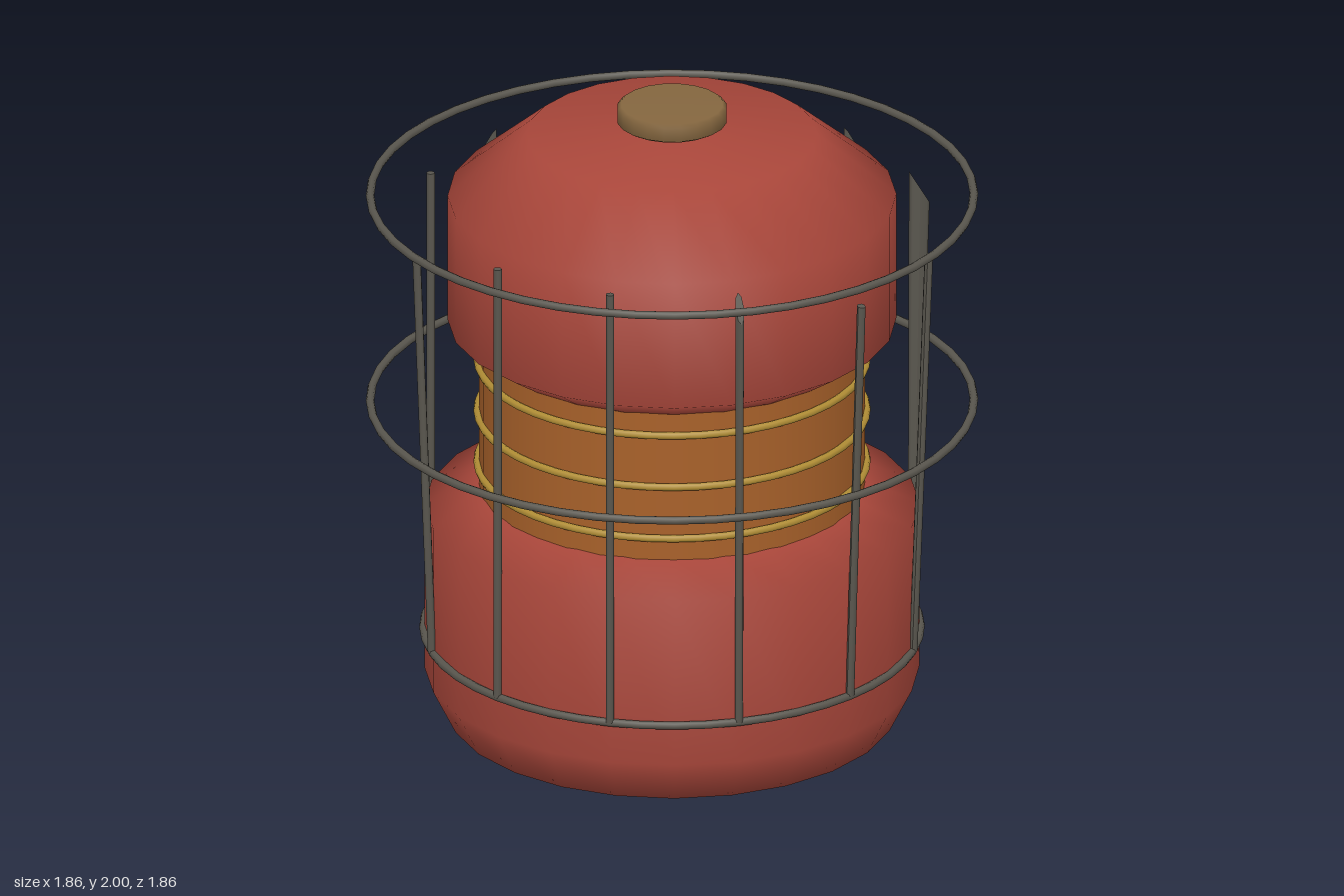
import * as THREE from 'three';

const material = (name, color) => {
  const m = new THREE.MeshStandardMaterial({ color });
  m.name = name;
  return m;
};

export function createModel() {
  const group = new THREE.Group();
  const red = material('red enamel', 0xa8463a);
  const amber = material('amber glass', 0xa8612a);
  const brass = material('brass', 0xb08d35);
  const iron = material('dark iron', 0x59564e);
  const bronze = material('bronze', 0x84663f);
  const pale = material('pale lining', 0xcdbcba);
  pale.side = THREE.DoubleSide;

  const add = (name, geometry, mat) => {
    const mesh = new THREE.Mesh(geometry, mat);
    mesh.name = name;
    group.add(mesh);
    return mesh;
  };
  const lathe = (name, points, mat, sides = 24) =>
    add(name, new THREE.LatheGeometry(points.map(([r, y]) => new THREE.Vector2(r, y)), sides), mat);
  const ring = (name, radius, y, tube, mat) => {
    const mesh = add(name, new THREE.TorusGeometry(radius, tube, 8, 48), mat);
    mesh.rotation.x = Math.PI / 2;
    mesh.position.y = y;
  };

  // Body: base with an opening underneath, glass drum and domed cap
  lathe('base', [[0.37, 0], [0.68, 0], [0.75, 0.14], [0.75, 0.68], [0.58, 0.75], [0.5, 0.75]], red);
  lathe('baseLining', [[0.37, 0], [0.37, 0.35], [0, 0.35]], pale);
  add('glass', new THREE.CylinderGeometry(0.585, 0.585, 0.5, 32), amber).position.y = 0.985;
  lathe('cap', [[0.5, 1.225], [0.58, 1.225], [0.68, 1.29], [0.68, 1.7], [0.44, 1.9], [0, 1.935]], red);
  lathe('capKnob', [[0, 1.937], [0.15, 1.937], [0.167, 1.947], [0.167, 1.99], [0.155, 2], [0, 2]], bronze, 20);
  for (const y of [0.82, 0.99, 1.16]) ring('glassBand', 0.59, y, 0.012, brass);

  // Cage hoops
  ring('lowerHoop', 0.753, 0.273, 0.013, iron);
  ring('middleHoop', 0.915, 1.022, 0.013, iron);
  ring('upperHoop', 0.915, 1.7, 0.013, iron);

  // Cage bar: a rod whose top end is moved outward or flared into a wedge
  const bar = (index, rIn, rOut, yIn, yOut) => {
    const geometry = new THREE.CylinderGeometry(0.013, 0.013, 1, 8);
    const p = geometry.attributes.position;
    for (let i = 0; i < p.count; i++) {
      const t = (p.getX(i) / 0.013 + 1) / 2;
      if (p.getY(i) > 0) {
        p.setX(i, THREE.MathUtils.lerp(rIn, rOut, t));
        p.setY(i, THREE.MathUtils.lerp(yIn, yOut, t));
      } else {
        p.setX(i, 0.755 + p.getX(i));
        p.setY(i, 0.275);
      }
    }
    geometry.computeVertexNormals();
    add('cageBar', geometry, iron).rotation.y = -index * Math.PI / 6;
  };
  const straight = [0.742, 0.768, 1.69, 1.69];
  const leaning = [0.79, 0.816, 1.58, 1.575];
  const wedge = [0.745, 0.81, 1.69, 1.58];
  const narrowWedge = [0.745, 0.785, 1.69, 1.6];
  [wedge, wedge, leaning, leaning, narrowWedge, straight,
    straight, leaning, straight, wedge, wedge, straight].forEach((shape, i) => bar(i, ...shape));

  return group;
}
